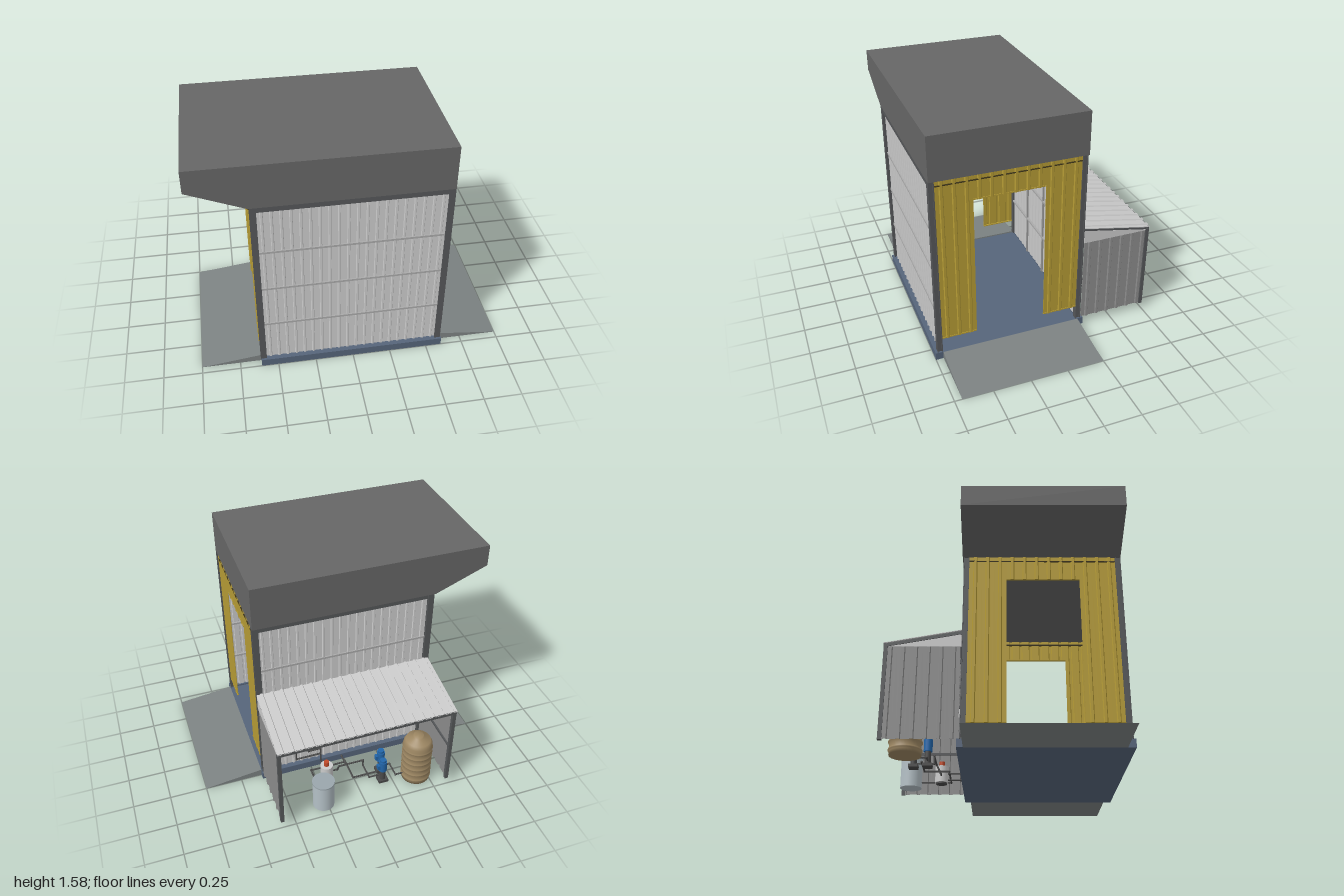
import * as THREE from 'three';

const mats = {};
const mat = (color) => (mats[color] ??= new THREE.MeshStandardMaterial({ color, side: THREE.DoubleSide }));
const DARK = 0x666666, STEEL = 0x555759, SHEET = 0xcccccc, YELLOW = 0xb59b35, BASE = 0x56657a,
  RAMP = 0x7c8282, SHED = 0x8c8c8c, BROWN = 0x9c8662, BLUE = 0x2266aa, PIPE = 0x4a4a4a;

export function createModel() {
  const model = new THREE.Group();

  const add = (name, geo, color, parent = model) => {
    const m = new THREE.Mesh(geo, mat(color));
    m.name = name;
    parent.add(m);
    return m;
  };
  const group = (name) => {
    const g = new THREE.Group();
    g.name = name;
    model.add(g);
    return g;
  };
  // box given by its limits on each axis
  const box = (name, color, [x0, x1], [y0, y1], [z0, z1], parent) => {
    const m = add(name, new THREE.BoxGeometry(x1 - x0, y1 - y0, z1 - z0), color, parent);
    m.position.set((x0 + x1) / 2, (y0 + y1) / 2, (z0 + z1) / 2);
    return m;
  };
  const cyl = (name, color, r, y0, y1, x, z, parent, seg = 24) => {
    const m = add(name, new THREE.CylinderGeometry(r, r, y1 - y0, seg), color, parent);
    m.position.set(x, (y0 + y1) / 2, z);
    return m;
  };
  // ribbed sheet: width along x, height up y, ribs towards +z
  const ribbed = (name, color, w, h, pitch, depth, parent) => {
    const n = Math.max(1, Math.round(w / pitch)), p = w / n, t = 0.004, line = [];
    for (let i = 0; i < n; i++) {
      const c = -w / 2 + (i + 0.5) * p, a = p * 0.17, b = p * 0.1;
      line.push([c - p / 2, 0], [c - a, 0], [c - b, depth], [c + b, depth], [c + a, 0]);
    }
    line.push([w / 2, 0]);
    const outer = line.map(([x, d]) => new THREE.Vector2(x, -d - t));
    const inner = line.map(([x, d]) => new THREE.Vector2(x, -d)).reverse();
    const geo = new THREE.ExtrudeGeometry(new THREE.Shape([...outer, ...inner]), { depth: h, bevelEnabled: false });
    geo.rotateX(-Math.PI / 2);
    return add(name, geo, color, parent);
  };
  // profile in (z, y) swept from x0 to x1
  const sweepX = (name, color, pts, x0, x1, parent) => {
    const shape = new THREE.Shape(pts.map((p) => new THREE.Vector2(...p)));
    const geo = new THREE.ExtrudeGeometry(shape, { depth: x1 - x0, bevelEnabled: false });
    geo.rotateY(-Math.PI / 2).translate(x1, 0, 0);
    return add(name, geo, color, parent);
  };
  // profile in (x, y) swept from z0 to z1
  const sweepZ = (name, color, pts, z0, z1) => {
    const shape = new THREE.Shape(pts.map((p) => new THREE.Vector2(...p)));
    const geo = new THREE.ExtrudeGeometry(shape, { depth: z1 - z0, bevelEnabled: false });
    return add(name, geo.translate(0, 0, z0), color);
  };

  // Base slab, curbs and drive ramps
  box('floorSlab', BASE, [-0.605, 0.605], [0, 0.04], [-0.25, 0.7]);
  box('frontCurb', BASE, [-0.61, 0.605], [0, 0.052], [0.7, 0.75]);
  box('backCurb', BASE, [-0.61, 0.605], [0, 0.052], [-0.29, -0.25]);
  for (const s of [-1, 1])
    sweepZ('ramp', RAMP, [[s * 0.605, 0], [s, 0], [s * 0.605, 0.05]], -0.25, 0.7);

  // Fascia and roof with sloping canopy over the right side
  sweepZ('roof', DARK, [[-0.97, 1.43], [-0.62, 1.285], [0.6, 1.285], [0.6, 1.575], [-0.97, 1.575]], -0.28, 0.735);

  // Steel frame
  const frame = group('frame');
  for (const x of [-0.615, 0.56])
    for (const [z0, z1] of [[0.7, 0.735], [-0.272, -0.237]]) {
      const flange = [[z0, z0 + 0.006], [z1 - 0.006, z1]];
      for (const f of flange) box('columnFlange', STEEL, [x, x + 0.04], [0.05, 1.285], f, frame);
      box('columnWeb', STEEL, [x + 0.008, x + 0.032], [0.05, 1.285], [z0, z1], frame);
    }
  for (const z of [0.7, -0.268]) box('topBeam', STEEL, [-0.6, 0.58], [1.25, 1.285], [z, z + 0.032], frame);

  // Ribbed front and back walls with girts
  const walls = group('walls');
  for (const [z, turn] of [[0.711, 0], [-0.249, Math.PI]]) {
    const w = ribbed('wallSheet', SHEET, 1.14, 1.2, 0.0575, 0.007, walls);
    w.position.set(-0.005, 0.05, z);
    w.rotation.y = turn;
    for (const y of [0.35, 0.65, 0.94])
      box('girt', 0xaaaaaa, [-0.575, 0.565], [y - 0.007, y + 0.007], [z - 0.014, z + 0.014], walls);
    for (const x of [-0.29, 0, 0.28])
      box('innerStud', 0x999999, [x - 0.006, x + 0.006], [0.05, 1.25], turn ? [z, z + 0.012] : [z - 0.012, z], walls);
  }

  // Yellow side cladding framing each drive-through opening
  const cladding = group('yellowCladding');
  for (const s of [-1, 1]) {
    const x = s > 0 ? 0.588 : -0.608;
    for (const [z0, z1, y0, y1] of [[0.465, 0.698, 0.15, 1.285], [-0.237, 0, 0.15, 1.285], [0, 0.465, 1.12, 1.285]]) {
      const p = ribbed('claddingSheet', YELLOW, z1 - z0, y1 - y0, 0.078, 0.007, cladding);
      p.position.set(x, y0, (z0 + z1) / 2);
      p.rotation.y = s * Math.PI / 2;
      box('claddingTrim', YELLOW, [x - 0.004, x + 0.008], [y0, y0 + 0.008], [z0, z1], cladding);
    }
    box('claddingSeam', 0x40371a, [x - 0.011, x + 0.011], [1.25, 1.256], [-0.235, 0.697], cladding);
  }

  // Lean-to shed: sloping ribbed roof, purlins, rafters, side walls and posts
  const shed = group('shed');
  const tilt = Math.atan2(0.09, 0.48);
  const roofY = (z) => 0.757 + (z + 0.27) * (0.09 / 0.48);
  const roof = ribbed('shedRoofSheet', SHEET, 1.21, 0.488, 0.067, 0.008, shed);
  roof.position.set(-0.003, 0.759, -0.272);
  roof.rotation.x = -(Math.PI / 2 + tilt);
  for (const z of [-0.29, -0.4, -0.51, -0.62, -0.735])
    box('purlin', STEEL, [-0.6, 0.595], [roofY(z) - 0.02, roofY(z) - 0.002], [z - 0.007, z + 0.007], shed);
  for (const x of [-0.605, -0.2, 0.2, 0.585])
    sweepX('rafter', STEEL, [[-0.27, 0.755], [-0.27, 0.735], [-0.745, 0.646], [-0.745, 0.666]], x, x + 0.014, shed);
  for (const s of [-1, 1]) {
    const w = ribbed('shedSideWall', SHED, 0.465, 0.595, 0.0775, 0.008, shed);
    w.position.set(s * 0.59, 0.055, -0.512);
    w.rotation.y = s * Math.PI / 2;
    sweepX('gable', SHEET, [[-0.275, 0.65], [-0.275, 0.742], [-0.745, 0.653], [-0.745, 0.65]], s * 0.597 - 0.003, s * 0.597 + 0.003, shed);
    box('cornerPost', STEEL, [s * 0.592 - 0.012, s * 0.592 + 0.012], [0.05, 0.66], [-0.748, -0.724], shed);
    box('sideRail', STEEL, [s * 0.583 - 0.005, s * 0.583 + 0.005], [0.35, 0.364], [-0.74, -0.28], shed);
  }
  box('eaveBeam', STEEL, [-0.605, 0.6], [0.65, 0.674], [-0.75, -0.736], shed);

  // Grey water tank
  const plant = group('waterPlant');
  cyl('greyTank', 0xb4c0c6, 0.073, 0.01, 0.22, 0.275, -0.645, plant, 32);
  cyl('greyTankRim', 0x9aa6ac, 0.076, 0.215, 0.225, 0.275, -0.645, plant, 32);

  // Brown hooped storage tank with domed top and lid
  const profile = [[0, 0.01], [0.098, 0.01]];
  for (let i = 0; i < 6; i++) {
    const y = 0.03 + i * 0.05;
    profile.push([0.098, y], [0.104, y + 0.008], [0.104, y + 0.016], [0.098, y + 0.024]);
  }
  profile.push([0.098, 0.33], [0.085, 0.355], [0.035, 0.375], [0.035, 0.392], [0, 0.392]);
  const tank = add('brownTank', new THREE.LatheGeometry(profile.map((p) => new THREE.Vector2(...p)), 32), BROWN, plant);
  tank.position.set(-0.42, 0, -0.605);

  // White pressure vessel with red head
  cyl('vessel', 0xdddddd, 0.044, 0.02, 0.13, 0.18, -0.43, plant);
  cyl('vesselHead', 0xc04a2a, 0.018, 0.13, 0.165, 0.18, -0.43, plant, 16);
  cyl('vesselFoot', PIPE, 0.036, 0.01, 0.02, 0.18, -0.43, plant);

  // Pair of vertical pumps with blue motors
  for (const [x, z] of [[-0.18, -0.58], [-0.2, -0.49]]) {
    box('pumpFoot', PIPE, [x - 0.035, x + 0.035], [0.01, 0.03], [z - 0.03, z + 0.03], plant);
    cyl('pumpBody', PIPE, 0.02, 0.03, 0.11, x, z, plant, 16);
    cyl('pumpMotor', BLUE, 0.028, 0.11, 0.19, x, z, plant, 16);
    cyl('motorCap', BLUE, 0.022, 0.19, 0.208, x, z, plant, 16);
    box('terminalBox', BLUE, [x + 0.02, x + 0.042], [0.13, 0.165], [z - 0.014, z + 0.014], plant);
  }

  // Pipework made of straight runs
  const pipes = [
    [[0.18, 0.04, -0.43], [0.18, 0.04, -0.3], [0.18, 0.23, -0.3], [0.36, 0.23, -0.3], [0.36, 0.12, -0.3], [0.18, 0.12, -0.3]],
    [[0.27, 0.23, -0.3], [0.27, 0.17, -0.3], [0.18, 0.17, -0.3]],
    [[0.275, 0.05, -0.6], [0.275, 0.05, -0.37], [0.02, 0.05, -0.37], [0.02, 0.05, -0.53], [-0.18, 0.05, -0.53]],
    [[-0.42, 0.05, -0.6], [-0.27, 0.05, -0.6], [-0.27, 0.05, -0.49], [-0.2, 0.05, -0.49]],
    [[-0.18, 0.07, -0.58], [-0.08, 0.07, -0.58], [-0.08, 0.07, -0.46], [-0.08, 0.12, -0.46], [0.1, 0.12, -0.46], [0.1, 0.06, -0.43], [0.18, 0.06, -0.43]],
    [[0.02, 0.035, -0.37], [0.02, 0.035, -0.29]],
  ];
  for (const run of pipes) {
    const path = new THREE.CurvePath();
    const pts = run.map((p) => new THREE.Vector3(...p));
    for (let i = 1; i < pts.length; i++) path.add(new THREE.LineCurve3(pts[i - 1], pts[i]));
    for (const c of path.curves) add('pipe', new THREE.TubeGeometry(c, 1, 0.006, 8), PIPE, plant);
    for (const p of pts) add('elbow', new THREE.SphereGeometry(0.008, 8, 6), PIPE, plant).position.copy(p);
  }

  return model;
}
